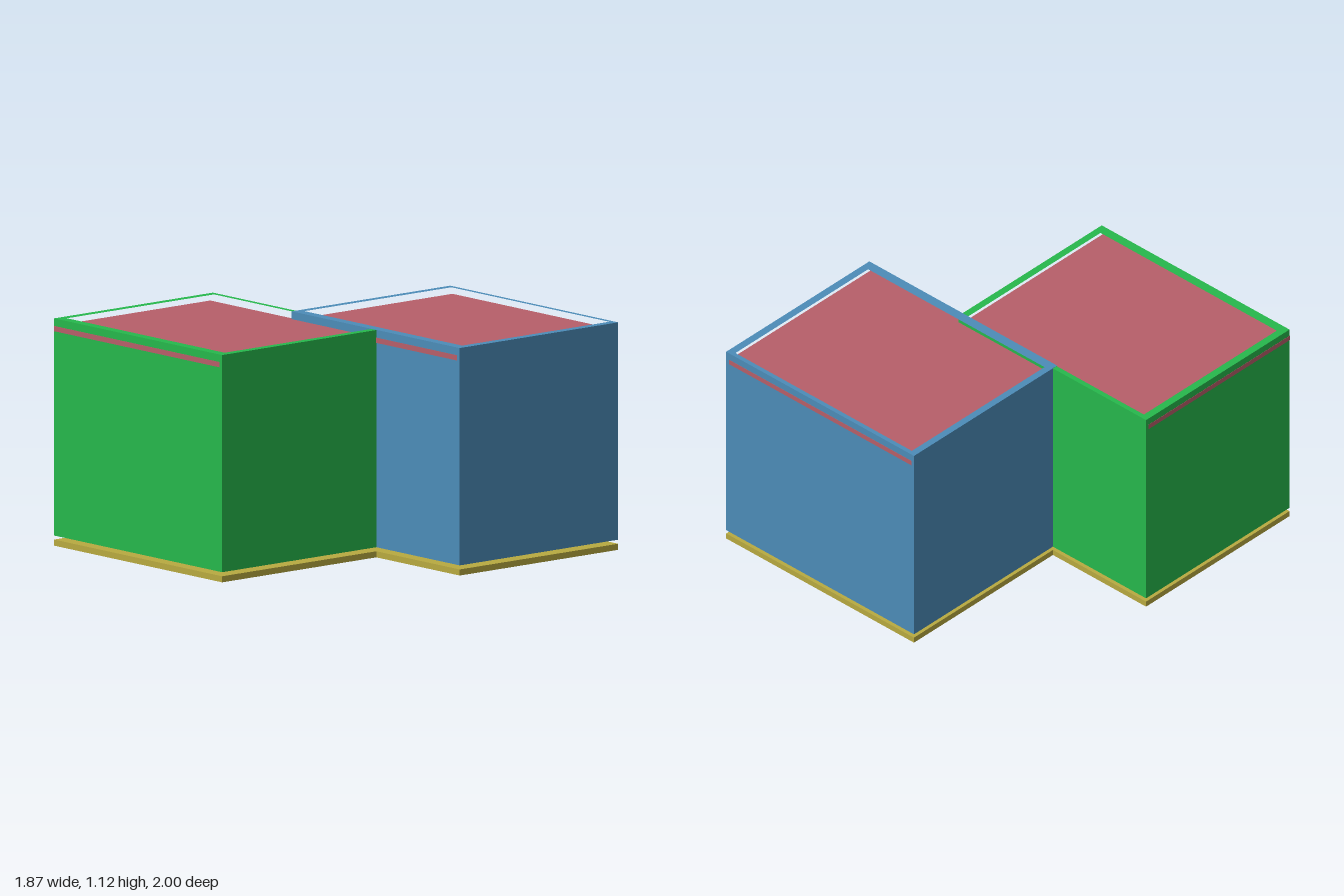
import * as THREE from 'three';

const mat = (color) => new THREE.MeshStandardMaterial({ color, flatShading: true });

// Box given by its min and max corners
function block(name, x0, x1, y0, y1, z0, z1, material) {
  const mesh = new THREE.Mesh(new THREE.BoxGeometry(x1 - x0, y1 - y0, z1 - z0), material);
  mesh.name = name;
  mesh.position.set((x0 + x1) / 2, (y0 + y1) / 2, (z0 + z1) / 2);
  return mesh;
}

// Rectangular tube of walls; plan rectangles are [x0, x1, z0, z1]
function walls(name, outer, inner, y0, y1, material) {
  const trace = (path, [x0, x1, z0, z1]) => {
    path.moveTo(x0, -z0);
    path.lineTo(x1, -z0);
    path.lineTo(x1, -z1);
    path.lineTo(x0, -z1);
    path.closePath();
    return path;
  };
  const shape = trace(new THREE.Shape(), outer);
  shape.holes.push(trace(new THREE.Path(), inner));
  const geometry = new THREE.ExtrudeGeometry(shape, { depth: y1 - y0, bevelEnabled: false });
  geometry.rotateX(-Math.PI / 2);
  const mesh = new THREE.Mesh(geometry, material);
  mesh.name = name;
  mesh.position.y = y0;
  return mesh;
}

export function createModel() {
  const model = new THREE.Group();
  model.name = 'twinBlockBuilding';
  const roofMat = mat(0xb75f69);
  const floorMat = mat(0xb8aa40);

  const blocks = [
    {
      name: 'front', color: 0x26b84c, top: 1.12,
      outer: [-0.934, 0.312, -0.016, 0.999],
      inner: [-0.895, 0.274, 0.01, 0.95],
      roof: [-0.935, 0.293, 0, 1],
    },
    {
      name: 'rear', color: 0x4c8cb8, top: 1.121,
      outer: [-0.316, 0.93, -0.999, 0.014],
      inner: [-0.28, 0.89, -0.976, -0.037],
      roof: [-0.3, 0.91, -1, 0.015],
    },
  ];

  for (const { name, color, top, outer, inner, roof } of blocks) {
    const group = new THREE.Group();
    group.name = name + 'Block';
    // Floor slab, sitting just under the walls
    group.add(block(name + 'Floor', outer[0], outer[1], 0, 0.03, outer[2], outer[3], floorMat));
    // Hollow walls, rising past the roof as a parapet
    group.add(walls(name + 'Walls', outer, inner, 0.05, top, mat(color)));
    // Roof slab let into the walls, its edge showing as a thin band
    group.add(block(name + 'Roof', roof[0], roof[1], 1.057, 1.083, roof[2], roof[3], roofMat));
    model.add(group);
  }
  return model;
}
